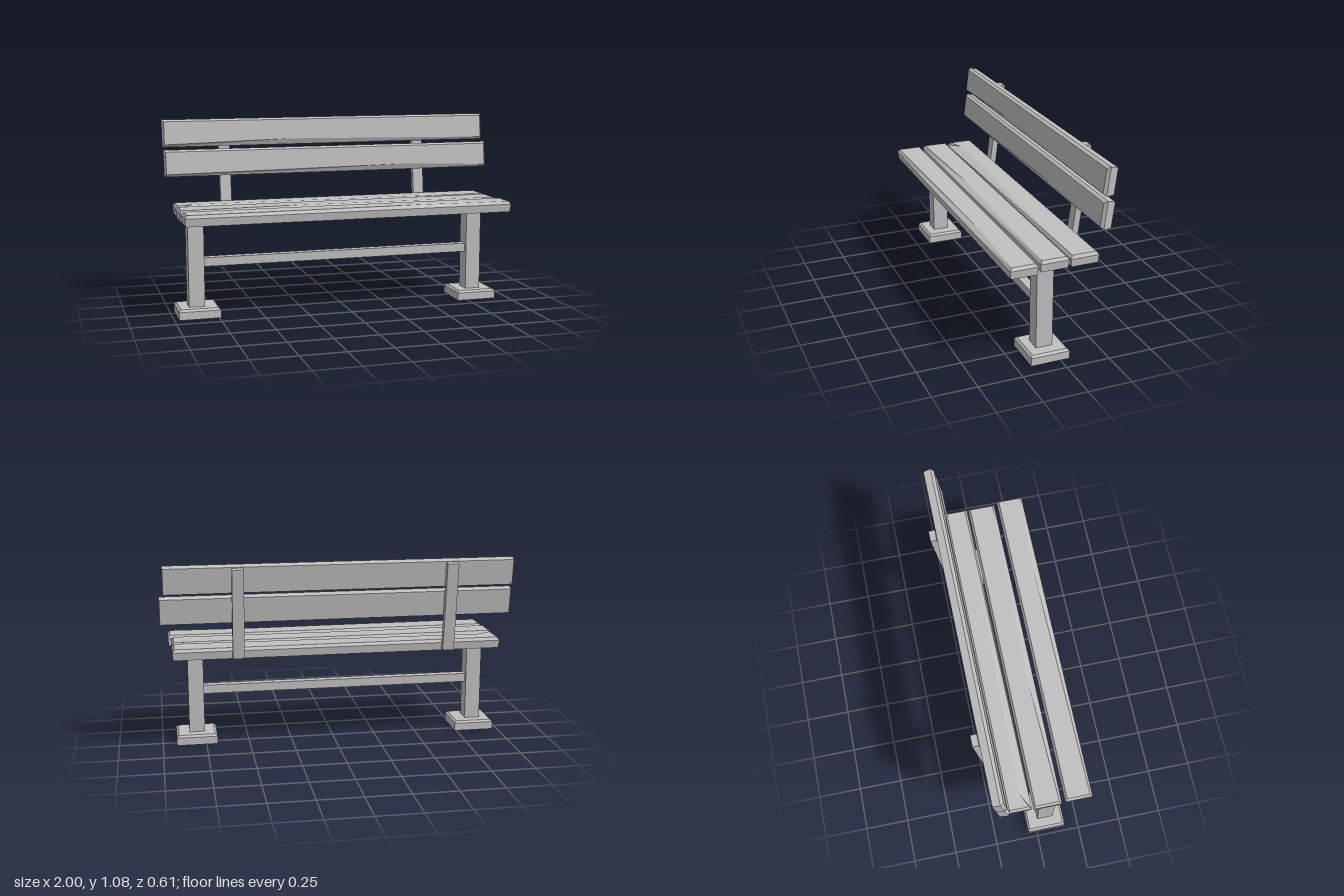
import * as THREE from 'three';

const grey = new THREE.MeshStandardMaterial({ color: 0xc0c0c0 });
grey.name = 'plain grey';
const hollowGrey = grey.clone();
hollowGrey.side = THREE.DoubleSide;

// Faceted copy of a geometry, one normal per face
function faceted(geometry) {
  const flat = geometry.index ? geometry.toNonIndexed() : geometry;
  flat.computeVertexNormals();
  return flat;
}

function addMesh(parent, name, geometry, x = 0, y = 0, z = 0, material = grey) {
  const mesh = new THREE.Mesh(geometry, material);
  mesh.name = name;
  mesh.position.set(x, y, z);
  parent.add(mesh);
  return mesh;
}

// Bevelled board along x: starts at z = 0 and runs towards -z, worn face upwards.
// The front bevel widens to `wear` at x = peak.
function plankGeometry(x0, x1, width, thick, peak, wear) {
  const bevel = 0.013, shoulder = thick - 0.017, endCut = 0.012;
  const stations = [[x0, endCut, bevel], [peak, 0, wear], [x1, -endCut, bevel]];
  const positions = [];
  for (const [x, cut, front] of stations) {
    positions.push(
      x + cut * 0.4, 0, -0.006,
      x, shoulder, 0,
      x + cut, thick, -front,
      x + cut, thick, -(width - bevel),
      x, shoulder, -width,
      x + cut * 0.4, 0, -(width - 0.006));
  }
  const index = [];
  const quad = (a, b, c, d) => index.push(a, b, c, a, c, d);
  for (let s = 0; s < 2; s++) {
    for (let i = 0; i < 6; i++) {
      const a = s * 6 + i, b = s * 6 + (i + 1) % 6;
      quad(a, a + 6, b + 6, b);
    }
  }
  // End caps
  quad(0, 1, 4, 5);
  quad(1, 2, 3, 4);
  quad(17, 16, 13, 12);
  quad(16, 15, 14, 13);
  const g = new THREE.BufferGeometry();
  g.setAttribute('position', new THREE.Float32BufferAttribute(positions, 3));
  g.setIndex(index);
  return faceted(g);
}

export function createModel() {
  const bench = new THREE.Group();
  bench.name = 'bench';

  // Seat planks, front to back
  const seat = [
    ['seatPlankFront', -0.95, 0.95, 0.305, 0.156, 0.45, 0.032],
    ['seatPlankMiddle', -0.955, 0.932, 0.13, 0.162, -0.25, 0.036],
    ['seatPlankRear', -0.95, 0.932, -0.04, 0.162, -0.85, 0.055],
  ];
  for (const [name, x0, x1, z, width, peak, wear] of seat) {
    addMesh(bench, name, plankGeometry(x0, x1, width, 0.062, peak, wear), 0, 0.545, z);
  }

  // Backrest planks, leaning back
  const lean = 0.127;
  const back = [
    ['backPlankLower', -0.995, 0.997, 0.752, -0.228, 0.155, 0.5],
    ['backPlankUpper', -1, 0.975, 0.922, -0.248, 0.158, -0.25],
  ];
  for (const [name, x0, x1, y, z, width, peak] of back) {
    const plank = addMesh(bench, name, plankGeometry(x0, x1, width, 0.06, peak, 0.032), 0, y, z);
    plank.rotation.x = Math.PI / 2 - lean;
  }

  // Slanted posts behind the backrest
  for (const x of [-0.633, 0.567]) {
    const post = addMesh(bench, 'backPost', new THREE.BoxGeometry(0.065, 0.514, 0.036), x, 0.811, -0.255);
    post.rotation.x = -lean;
  }

  // Hollow square feet and open-ended legs
  const half = Math.SQRT2 * 0.1175;
  const footProfile = [[half, 0], [half, 0.045], [half - 0.018, 0.057], [0, 0.057]]
    .map(([r, y]) => new THREE.Vector2(r, y));
  const footGeometry = faceted(new THREE.LatheGeometry(footProfile, 4, Math.PI / 4));
  footGeometry.scale(1, 1, 0.95);
  footGeometry.computeVertexNormals();
  const legGeometry = new THREE.CylinderGeometry(1, 1, 0.515, 4, 1, true, Math.PI / 4);
  legGeometry.scale(0.045 * Math.SQRT2, 1, 0.0475 * Math.SQRT2);
  const legFaceted = faceted(legGeometry);
  for (const [foot, leg] of [[-0.857, -0.865], [0.803, 0.8]]) {
    addMesh(bench, 'foot', footGeometry, foot, 0, 0.058, hollowGrey);
    addMesh(bench, 'leg', legFaceted, leg, 0.2925, 0.0625, hollowGrey);
  }

  // Bar between the legs
  addMesh(bench, 'stretcher', new THREE.BoxGeometry(1.585, 0.05, 0.05), -0.0325, 0.305, 0.0625);

  return bench;
}
